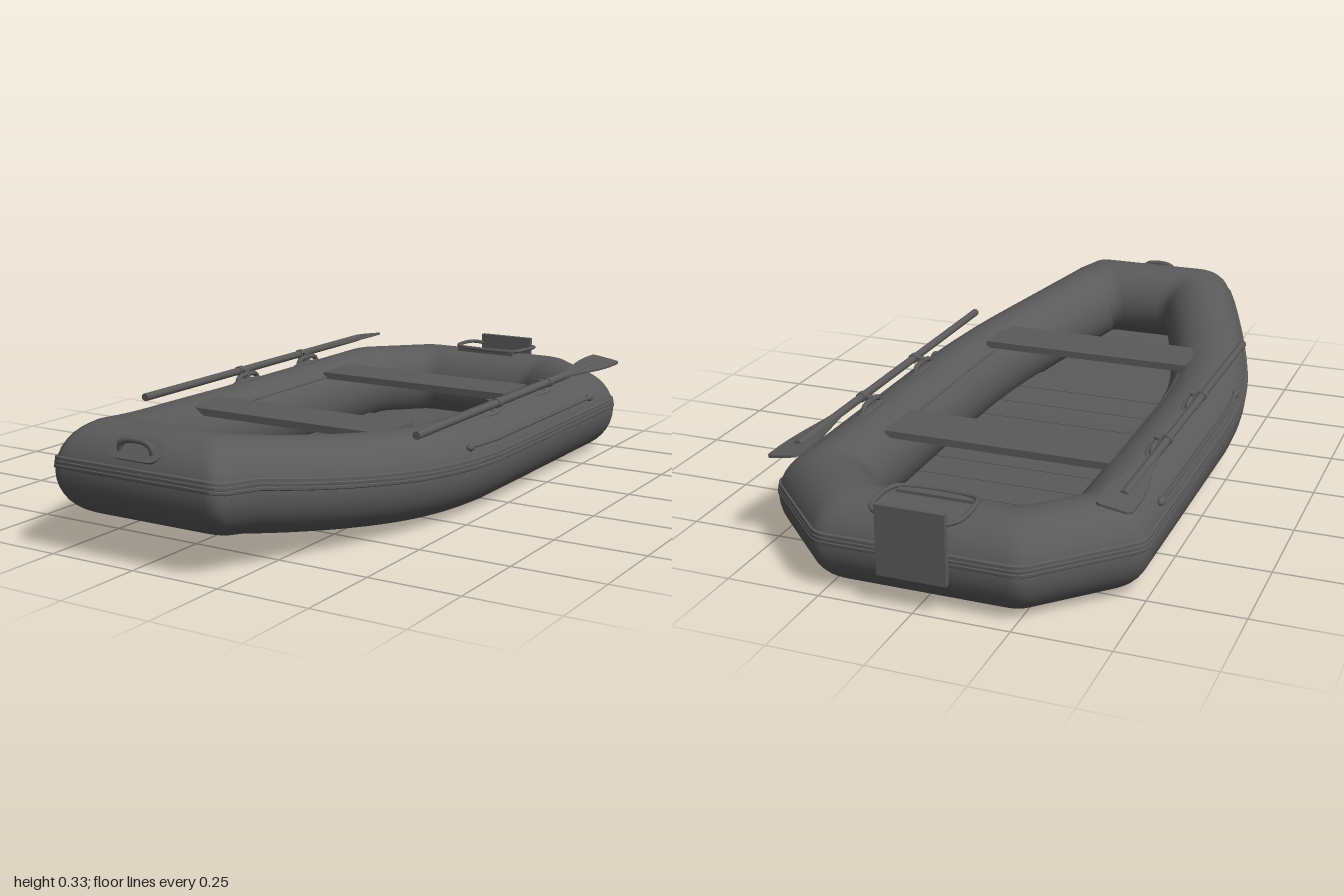
import * as THREE from 'three';
import { toCreasedNormals } from 'three/addons/utils/BufferGeometryUtils.js';

const mat = new THREE.MeshStandardMaterial({ color: 0x5a5a5a, side: THREE.DoubleSide });
const RX = 0.116, RY = 0.12;
const V = (x, y, z) => new THREE.Vector3(x, y, z);

// Half centreline of the buoyancy tube in plan, bow to stern, as [x, z]
const sideCurve = new THREE.CatmullRomCurve3(
  [[0.165, 0.881], [0.237, 0.7], [0.3, 0.52], [0.345, 0.36], [0.372, 0.2], [0.382, 0.05]].map(([x, z]) => V(x, 0, z)));
const half = [...sideCurve.getPoints(20).map(p => [p.x, p.z]), [0.382, -0.3], [0.382, -0.7], [0.217, -0.865]];
const path = [...half, ...half.map(([x, z]) => [-x, z]).reverse()];

// Height of the tube centre, sweeping up towards the bow
const centreY = z => 0.12 + 0.09 * Math.pow(Math.max(0, z) / 0.881, 1.9);

// Centreline half width at a given z
function halfWidth(z) {
  for (let i = 1; i < half.length; i++) {
    const [x0, z0] = half[i - 1], [x1, z1] = half[i];
    if (z <= z0 && z >= z1) return x0 + (x1 - x0) * (z0 - z) / (z0 - z1);
  }
  return z > 0 ? half[0][0] : 0.217;
}

// Sweep a closed profile of [outward, up] pairs round the hull, easing each mitred corner
function sweepHull(profile, crease) {
  const n = path.length, m = profile.length, pos = [], idx = [];
  const normal = (a, b) => {
    const dx = b[0] - a[0], dz = b[1] - a[1], l = Math.hypot(dx, dz);
    return [-dz / l, dx / l];
  };
  path.forEach((p, i) => {
    const a = normal(path[(i + n - 1) % n], p), b = normal(p, path[(i + 1) % n]);
    const dot = a[0] * b[0] + a[1] * b[1];
    const nx = (a[0] + b[0]) / (1 + dot), nz = (a[1] + b[1]) / (1 + dot);
    for (const k of dot < 0.9 ? [0, 0.25, 0.5, 0.75, 1] : [0.5]) {
      const back = dot < 0.9 ? -0.03 * (1 - k) ** 2 : 0, on = dot < 0.9 ? 0.03 * k * k : 0;
      const x = p[0] + a[1] * back + b[1] * on, z = p[1] - a[0] * back - b[0] * on;
      for (const [u, v] of profile) pos.push(x + nx * u, centreY(z) + v, z + nz * u);
    }
  });
  const rings = pos.length / 3 / m;
  for (let i = 0; i < rings; i++) {
    for (let j = 0; j < m; j++) {
      const i2 = (i + 1) % rings, j2 = (j + 1) % m;
      idx.push(i * m + j, i2 * m + j, i * m + j2, i2 * m + j, i2 * m + j2, i * m + j2);
    }
  }
  const g = new THREE.BufferGeometry();
  g.setAttribute('position', new THREE.Float32BufferAttribute(pos, 3));
  g.setIndex(idx);
  return toCreasedNormals(g, crease);
}

export function createModel() {
  const boat = new THREE.Group();
  boat.name = 'inflatableBoat';
  const add = (name, geo, x = 0, y = 0, z = 0, parent = boat) => {
    const mesh = new THREE.Mesh(geo, mat);
    mesh.name = name;
    mesh.position.set(x, y, z);
    parent.add(mesh);
    return mesh;
  };
  const rod = (name, pts, r, parent = boat) => add(name,
    new THREE.TubeGeometry(new THREE.CatmullRomCurve3(pts, false, 'centripetal'), 40, r, 8), 0, 0, 0, parent);
  const pad = (name, sx, sy, sz, x, y, z, parent) => {
    const mesh = add(name, new THREE.SphereGeometry(1, 24, 12), x, y, z, parent);
    mesh.scale.set(sx, sy, sz);
    return mesh;
  };

  // Main tube
  const ring = Array.from({ length: 36 }, (_, i) => {
    const a = i / 36 * Math.PI * 2;
    return [RX * Math.cos(a), RY * Math.sin(a)];
  });
  add('buoyancyTube', sweepHull(ring, 0.6));

  // Ribbed rubbing strip round the outside
  const strip = [[0.1, 0.008], [0.1165, 0.009]];
  for (let i = 0; i < 3; i++) {
    const v = 0.011 + i * 0.01, r = RX * Math.sqrt(1 - (v / RY) ** 2);
    strip.push([r + 0.003, v], [r + 0.003, v + 0.006], [r + 0.001, v + 0.008]);
  }
  strip.push([0.1, 0.041]);
  add('rubbingStrip', sweepHull(strip, 0.4));

  // Floor pieces follow the width and rise of the hull
  const floorPiece = (name, z0, z1, thick, lift) => {
    const g = new THREE.BoxGeometry(2, thick, z1 - z0, 2, 1, 10);
    const p = g.attributes.position;
    for (let i = 0; i < p.count; i++) {
      const z = p.getZ(i) + (z0 + z1) / 2;
      p.setXYZ(i, p.getX(i) * halfWidth(z), p.getY(i) + centreY(z) + lift, z);
    }
    g.computeVertexNormals();
    add(name, g);
  };
  floorPiece('floorSheet', -0.84, 0.86, 0.008, -0.085);
  for (let i = 0; i < 9; i++) {
    const z = -0.57 + i * 0.1125;
    floorPiece('floorSlat', z, z + 0.109, 0.014, -0.076);
  }
  for (let i = 0; i < 6; i++) {
    const z = -0.84 + i * 0.283;
    floorPiece('undersidePanel', z, z + 0.279, 0.006, -0.09);
  }

  // Bench seats rest on the inner shoulders of the tube
  for (const [z, lift] of [[-0.41, 0.094], [0.29, 0.104]])
    add('benchSeat', new THREE.BoxGeometry(0.63, 0.02, 0.16), 0, centreY(z) + lift, z);

  for (const s of [-1, 1]) {
    // Bench rail on the inner side of the tube
    const rail = [];
    for (let z = -0.48; z < 0.3; z += 0.1) rail.push(V(s * (halfWidth(z) - 0.077), centreY(z) + 0.088, z));
    rod('benchRail', rail, 0.004);

    // Oar: shaft and long tapered, tilted blade
    const oar = new THREE.Group();
    oar.name = 'oar';
    oar.position.set(s * 0.435, 0.263, 0);
    boat.add(oar);
    const shaft = add('oarShaft', new THREE.CylinderGeometry(0.011, 0.011, 1.14, 16), 0, 0, -0.165, oar);
    shaft.rotation.x = Math.PI / 2;
    const outline = new THREE.Shape();
    outline.moveTo(-0.011, 0.47);
    outline.bezierCurveTo(-0.014, 0.56, -0.042, 0.64, -0.046, 0.74);
    outline.lineTo(-0.046, 0.8);
    outline.quadraticCurveTo(-0.044, 0.818, -0.03, 0.818);
    outline.lineTo(0.03, 0.818);
    outline.quadraticCurveTo(0.044, 0.818, 0.046, 0.8);
    outline.lineTo(0.046, 0.74);
    outline.bezierCurveTo(0.042, 0.64, 0.014, 0.56, 0.011, 0.47);
    const bladeGeo = new THREE.ExtrudeGeometry(outline, { depth: 0.006, bevelEnabled: false });
    bladeGeo.translate(0, 0, -0.003).rotateX(-Math.PI / 2);
    add('oarBlade', bladeGeo, 0, 0, 0, oar).rotation.z = -s * 0.16;

    // Oarlocks: glued patch, arched loop and a post holding the oar
    for (const z of [-0.38, -0.05]) {
      const lock = new THREE.Group();
      lock.name = 'oarlock';
      lock.position.set(s * 0.408, 0.236, z);
      boat.add(lock);
      pad('oarlockPatch', 0.024, 0.007, 0.07, 0, 0, 0, lock).rotation.z = -s * 0.25;
      rod('oarlockLoop', [V(0, 0, -0.052), V(0, 0.014, -0.042), V(0, 0.02, 0), V(0, 0.014, 0.042), V(0, 0, 0.052)], 0.0075, lock);
      add('oarlockPost', new THREE.CylinderGeometry(0.01, 0.013, 0.034, 14), s * 0.004, 0.016, 0, lock);
      add('oarlockCollar', new THREE.CylinderGeometry(0.014, 0.014, 0.02, 18), s * 0.027, 0.027, 0, lock).rotation.x = Math.PI / 2;
    }

    // Grab line along the side with an end fitting at each end
    const line = [];
    for (let i = 0; i <= 16; i++) {
      const z = 0.18 - i * 0.0475;
      line.push(V(s * (halfWidth(z) + 0.1), centreY(z) + 0.066, z));
    }
    rod('grabLine', line, 0.005);
    for (const f of [line[0], line[16]])
      pad('grabLineFitting', 0.01, 0.011, 0.018, f.x, f.y, f.z);
  }

  // Bow handle on an oval pad
  const bow = new THREE.Group();
  bow.name = 'bowHandle';
  bow.position.set(0, 0.289, 0.965);
  bow.rotation.x = -0.72;
  boat.add(bow);
  const oval = new THREE.Shape();
  oval.absarc(0.045, 0, 0.032, -Math.PI / 2, Math.PI / 2, false);
  oval.absarc(-0.045, 0, 0.032, Math.PI / 2, Math.PI * 1.5, false);
  add('handlePad', new THREE.ExtrudeGeometry(oval, { depth: 0.012, bevelEnabled: false, curveSegments: 16 }), 0, 0, -0.008, bow);
  rod('handleLoop', [V(-0.05, -0.008, 0), V(-0.045, 0.004, 0.014), V(-0.028, 0.011, 0.02), V(0.028, 0.011, 0.02),
    V(0.045, 0.004, 0.014), V(0.05, -0.008, 0)], 0.008, bow);

  // Motor mount: plate behind the stern carried by a bent frame
  add('motorPlate', new THREE.BoxGeometry(0.18, 0.185, 0.016), 0, 0.178, -0.992);
  rod('motorFrame', [V(-0.08, 0.24, -0.99), V(-0.112, 0.246, -0.97), V(-0.115, 0.25, -0.87), V(-0.1, 0.249, -0.842),
    V(0.1, 0.249, -0.842), V(0.115, 0.25, -0.87), V(0.112, 0.246, -0.97), V(0.08, 0.24, -0.99)], 0.006);
  add('motorFramePad', new THREE.BoxGeometry(0.2, 0.012, 0.03), 0, 0.241, -0.845);

  return boat;
}
